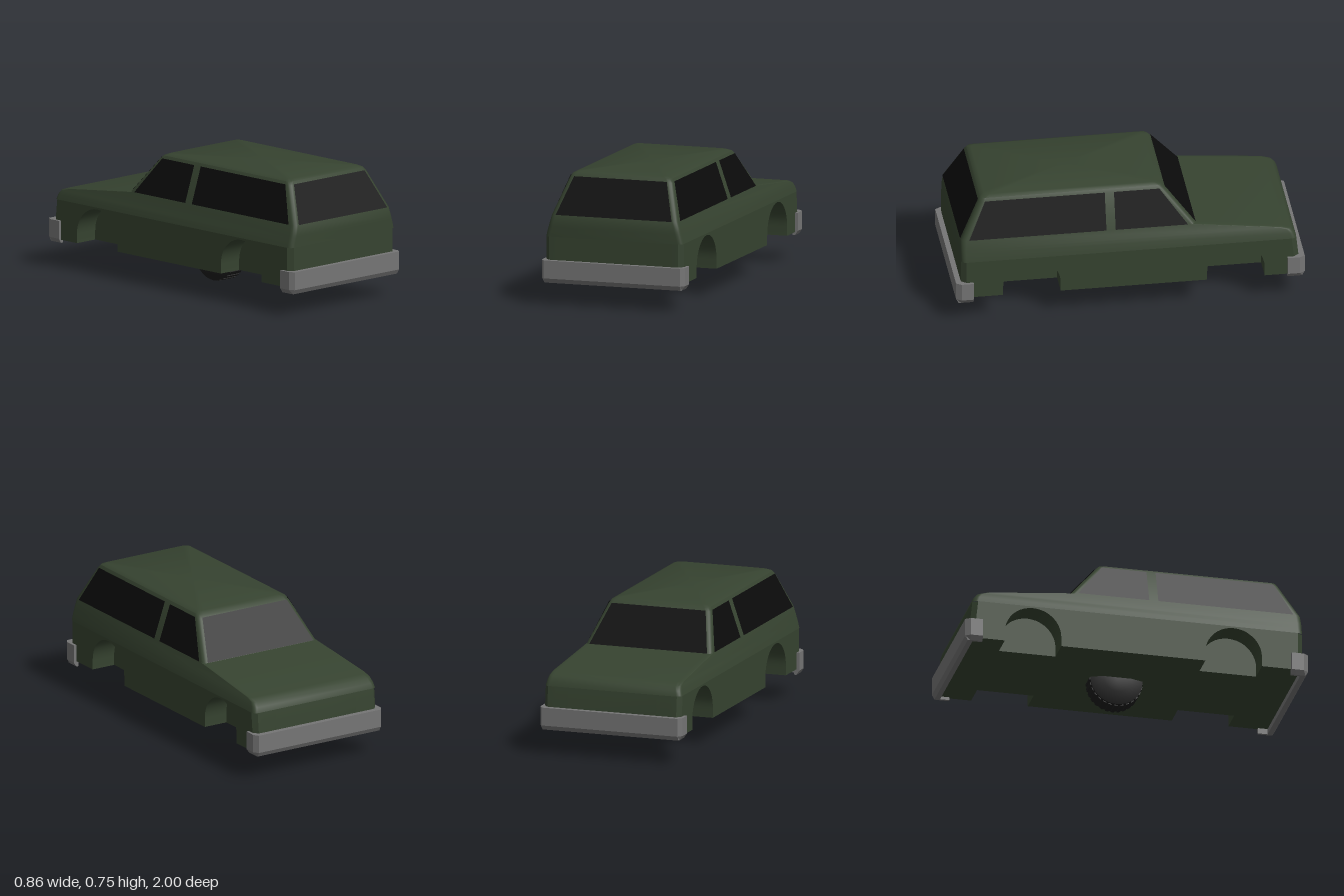
import * as THREE from 'three';
import { toCreasedNormals } from 'three/addons/utils/BufferGeometryUtils.js';

const paint = new THREE.MeshStandardMaterial({ color: 0x364330 });
const glass = new THREE.MeshStandardMaterial({ color: 0x0b0b0b, side: THREE.DoubleSide });
const bumperGrey = new THREE.MeshStandardMaterial({ color: 0x757575 });
const rubber = new THREE.MeshStandardMaterial({ color: 0x1c1c1c });

const BASE = 0.16, WAIST = 0.39, HALF = 0.415, WELL = 0.27;

function add(group, name, geometry, material) {
  const mesh = new THREE.Mesh(geometry, material);
  mesh.name = name;
  group.add(mesh);
  return mesh;
}

function buffer(points, index) {
  const g = new THREE.BufferGeometry();
  g.setAttribute('position', new THREE.Float32BufferAttribute(points, 3));
  g.setIndex(index);
  return g;
}

// Lower body slab between x0 and x1, optionally with wheel arches cut from the bottom
function lowerBody(x0, x1, arches) {
  const s = new THREE.Shape();
  s.moveTo(-0.97, BASE);
  if (arches) {
    for (const cz of [-0.605, 0.565]) {
      s.lineTo(cz - 0.165, BASE);
      s.lineTo(cz - 0.165, 0.215);
      s.absarc(cz, 0.215, 0.165, Math.PI, 0, true);
      s.lineTo(cz + 0.165, BASE);
    }
  }
  s.lineTo(0.97, BASE);
  s.lineTo(0.97, WAIST);
  s.lineTo(-0.955, WAIST);
  s.lineTo(-0.97, 0.25);
  const g = new THREE.ExtrudeGeometry(s, {
    depth: x1 - x0, steps: arches ? 6 : 1, bevelEnabled: false, curveSegments: 10,
  });
  g.rotateY(-Math.PI / 2);
  g.translate(x1, 0, 0);
  // Pull the ends in near the outer sides to round the corners in plan
  const p = g.attributes.position;
  for (let i = 0; i < p.count; i++) {
    const z = p.getZ(i), over = Math.max(0, Math.abs(p.getX(i)) - (HALF - 0.03)) / 0.03;
    if (Math.abs(z) > 0.9) p.setZ(i, z - Math.sign(z) * 0.03 * over * over);
  }
  return toCreasedNormals(g, 0.6);
}

// Bonnet, cabin and roof lofted through rounded rectangles: [y, bonnet end z, tail z, half width]
function upperBody() {
  const rows = [
    [WAIST, -0.955, 0.97, HALF], [0.42, -0.945, 0.97, 0.408], [0.445, -0.925, 0.97, 0.401],
    [0.46, -0.88, 0.97, 0.397], [0.515, -0.38, 0.965, 0.382], [0.72, -0.215, 0.855, 0.312],
    [0.741, -0.197, 0.842, 0.3], [0.752, -0.17, 0.818, 0.276],
  ];
  const r = 0.03, pts = [], idx = [], n = 20;
  for (const [y, z0, z1, hw] of rows) {
    for (let c = 0; c < 4; c++) {
      const cx = (c === 0 || c === 3 ? 1 : -1) * (hw - r);
      const cz = c < 2 ? z1 - r : z0 + r;
      for (let k = 0; k < 5; k++) {
        const a = (c + k / 4) * Math.PI / 2;
        pts.push(cx + r * Math.cos(a), y, cz + r * Math.sin(a));
      }
    }
  }
  for (let i = 0; i < rows.length - 1; i++) {
    for (let j = 0; j < n; j++) {
      const a = i * n + j, b = i * n + (j + 1) % n;
      idx.push(a, a + n, b + n, a, b + n, b);
    }
  }
  const top = (rows.length - 1) * n;
  pts.push(0, 0.752, 0.324);
  for (let j = 0; j < n; j++) idx.push(rows.length * n, top + (j + 1) % n, top + j);
  return toCreasedNormals(buffer(pts, idx), 0.6);
}

// Flat pane from four corners
function pane(a, b, c, d) {
  const g = buffer([...a, ...b, ...c, ...d], [0, 1, 2, 0, 2, 3]);
  g.computeVertexNormals();
  return g;
}

// Wrap-around bumper with chamfered corners and a chamfered lower edge
function bumper() {
  const outline = [[-0.432, 0.9], [-0.432, 0.97], [-0.412, 1], [0.412, 1], [0.432, 0.97],
    [0.432, 0.9], [0.4, 0.9], [0.4, 0.955], [-0.4, 0.955], [-0.4, 0.9]];
  const g = new THREE.ExtrudeGeometry(
    new THREE.Shape(outline.map(([x, z]) => new THREE.Vector2(x, z))),
    { depth: 0.13, steps: 5, bevelEnabled: false });
  g.rotateX(Math.PI / 2);
  const p = g.attributes.position;
  for (let i = 0; i < p.count; i++) {
    if (p.getY(i) > -0.125) continue;
    p.setX(i, THREE.MathUtils.clamp(p.getX(i), -0.414, 0.414));
    p.setZ(i, Math.min(p.getZ(i), 0.985));
  }
  return toCreasedNormals(g, 0.3);
}

export function createModel() {
  const car = new THREE.Group();
  car.name = 'car';

  // Body
  add(car, 'upperBody', upperBody(), paint);
  add(car, 'floorBody', lowerBody(-WELL, WELL, false), paint);
  add(car, 'leftLowerSide', lowerBody(WELL, HALF, true), paint);
  add(car, 'rightLowerSide', lowerBody(-HALF, -WELL, true), paint);

  // Glass, set just proud of the sloping cabin
  const y0 = 0.517, y1 = 0.726, e = 0.004;
  const slope = (a, b, y) => a + (b - a) * (y - 0.515) / 0.205;
  const tail = y => slope(0.965, 0.855, y) + e;
  const shield = y => slope(-0.38, -0.215, y) - e;
  const side = y => slope(0.382, 0.312, y) + e;
  add(car, 'tailWindow', pane([-0.35, y0, tail(y0)], [0.35, y0, tail(y0)],
    [0.28, y1, tail(y1)], [-0.28, y1, tail(y1)]), glass);
  add(car, 'windshield', pane([0.357, y0, shield(y0)], [-0.357, y0, shield(y0)],
    [-0.285, y1, shield(y1)], [0.285, y1, shield(y1)]), glass);
  for (const s of [1, -1]) {
    const label = s > 0 ? 'left' : 'right';
    // z of the lower two and upper two corners
    const sideWindow = (a, b, c, d) => {
      const q = [[s * side(y0), y0, a], [s * side(y0), y0, b],
        [s * side(y1), y1, c], [s * side(y1), y1, d]];
      return pane(...(s > 0 ? q : q.reverse()));
    };
    add(car, label + 'LongWindow', sideWindow(0.92, 0.133, 0.133, 0.82), glass);
    add(car, label + 'DoorWindow', sideWindow(0.08, -0.335, -0.18, 0.08), glass);
  }

  // Bumpers at both ends
  add(car, 'tailBumper', bumper(), bumperGrey).position.y = 0.257;
  const bonnetBumper = add(car, 'bonnetBumper', bumper(), bumperGrey);
  bonnetBumper.rotation.y = Math.PI;
  bonnetBumper.position.y = 0.272;

  // Single wheel under the floor, with tread bars
  const wheel = new THREE.Group();
  wheel.name = 'wheel';
  const profile = [[0, -0.05], [0.151, -0.05], [0.151, 0.055], [0.082, 0.08], [0, 0.08]]
    .map(([r, h]) => new THREE.Vector2(r, h));
  const tyre = new THREE.LatheGeometry(profile, 32);
  tyre.rotateZ(Math.PI / 2);
  add(wheel, 'tyre', toCreasedNormals(tyre, 0.4), rubber);
  for (let i = 0; i < 28; i++) {
    const a = i / 28 * Math.PI * 2;
    const bar = add(wheel, 'treadBar', new THREE.BoxGeometry(0.095, 0.01, 0.02), rubber);
    bar.position.set(0.003, 0.15 * Math.cos(a), 0.15 * Math.sin(a));
    bar.rotation.x = a;
  }
  wheel.position.set(0, 0.155, -0.033);
  car.add(wheel);

  return car;
}
